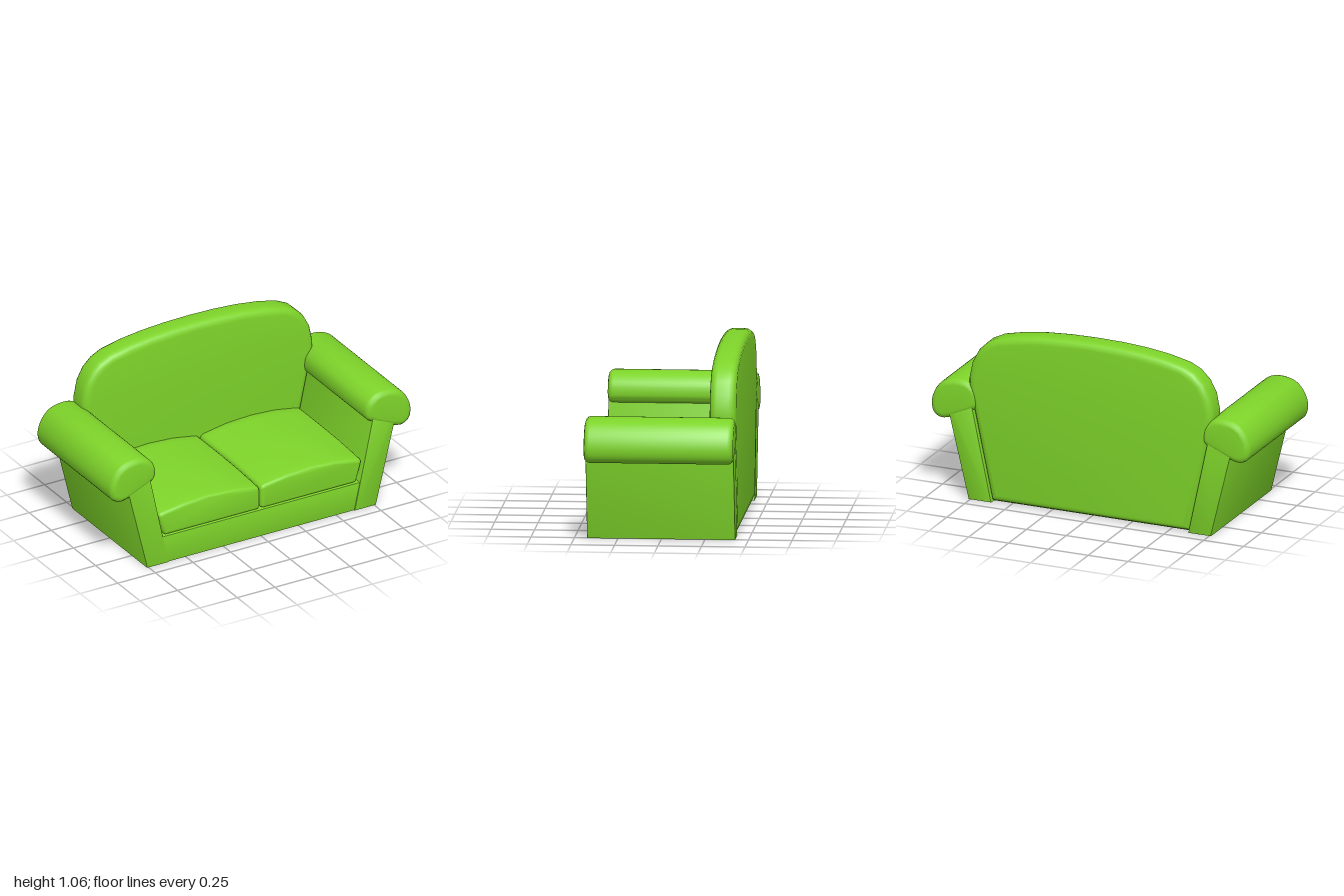
import * as THREE from 'three';
import { toCreasedNormals } from 'three/addons/utils/BufferGeometryUtils.js';

const material = new THREE.MeshStandardMaterial({ color: 0x7ed42a });

// Extrudes a front outline from z0 to z1 with rounded rims kept inside the outline
function extrudeZ(shape, z0, z1, bevel, { segments = 4, steps = 1 } = {}) {
  const geo = new THREE.ExtrudeGeometry(shape, {
    depth: z1 - z0 - 2 * bevel, steps, curveSegments: 4,
    bevelEnabled: true, bevelSize: bevel, bevelOffset: -bevel,
    bevelThickness: bevel, bevelSegments: segments,
  });
  return geo.translate(0, 0, z0 + bevel);
}

function part(name, geo) {
  const mesh = new THREE.Mesh(toCreasedNormals(geo, 0.65), material);
  mesh.name = name;
  return mesh;
}

const points = (list, side = 1) => list.map(([x, y]) => new THREE.Vector2(side * x, y));
const polygon = (list, side) => new THREE.Shape(points(list, side));

// Closed smooth outline
function smoothOutline(list, side) {
  const curve = new THREE.CatmullRomCurve3(
    points(list, side).map((p) => new THREE.Vector3(p.x, p.y, 0)), true);
  return new THREE.Shape(curve.getPoints(48).slice(0, -1).map((p) => new THREE.Vector2(p.x, p.y)));
}

// Cushion: slanted outer side, crowned top that drops toward the front
function cushion(side) {
  const s = new THREE.Shape();
  s.moveTo(side * 0.025, 0.172);
  s.lineTo(side * 0.62, 0.172);
  s.quadraticCurveTo(side * 0.64, 0.172, side * 0.645, 0.2);
  s.lineTo(side * 0.672, 0.31);
  s.quadraticCurveTo(side * 0.675, 0.333, side * 0.645, 0.34);
  s.bezierCurveTo(side * 0.46, 0.386, side * 0.22, 0.386, side * 0.03, 0.34);
  s.quadraticCurveTo(side * 0.004, 0.333, side * 0.004, 0.31);
  s.lineTo(side * 0.004, 0.195);
  s.quadraticCurveTo(side * 0.004, 0.172, side * 0.025, 0.172);
  const geo = extrudeZ(s, -0.3, 0.415, 0.02, { steps: 12 });
  const pos = geo.attributes.position;
  for (let i = 0; i < pos.count; i++) {
    const t = Math.max(0, pos.getZ(i) + 0.05) / 0.46;
    const h = Math.max(0, (pos.getY(i) - 0.172) / 0.2);
    pos.setY(i, pos.getY(i) - 0.025 * t * t * h);
  }
  return geo;
}

// Backrest: splayed sides, round shoulders and a gently arched top
function backrestShape() {
  const s = new THREE.Shape();
  s.moveTo(-0.62, 0.008);
  s.lineTo(0.62, 0.008);
  s.lineTo(0.735, 0.55);
  s.bezierCurveTo(0.76, 0.64, 0.77, 0.68, 0.766, 0.74);
  s.bezierCurveTo(0.755, 0.88, 0.68, 0.97, 0.58, 1.0);
  s.bezierCurveTo(0.42, 1.045, 0.22, 1.06, 0, 1.06);
  s.bezierCurveTo(-0.22, 1.06, -0.42, 1.045, -0.58, 1.0);
  s.bezierCurveTo(-0.68, 0.97, -0.755, 0.88, -0.766, 0.74);
  s.bezierCurveTo(-0.77, 0.68, -0.76, 0.64, -0.735, 0.55);
  return s;
}

export function createModel() {
  const sofa = new THREE.Group();
  sofa.name = 'sofa';

  const base = polygon([[-0.622, 0], [0.622, 0], [0.66, 0.172], [-0.66, 0.172]]);
  sofa.add(part('seatBase', extrudeZ(base, -0.385, 0.422, 0.006, { segments: 2 })));
  sofa.add(part('backrest', extrudeZ(backrestShape(), -0.427, -0.275, 0.042)));

  for (const side of [1, -1]) {
    const label = side > 0 ? 'left' : 'right';

    // Leaning arm panel
    const panel = polygon([[0.618, 0], [0.76, 0], [0.882, 0.5], [0.88, 0.58], [0.742, 0.58]], side);
    sofa.add(part(label + 'ArmPanel', extrudeZ(panel, -0.425, 0.427, 0.005, { segments: 2 })));

    // Padded roll on top of the arm
    const roll = smoothOutline([
      [0.703, 0.57], [0.705, 0.645], [0.74, 0.69], [0.79, 0.714], [0.865, 0.714],
      [0.93, 0.69], [0.98, 0.63], [1.0, 0.555], [0.985, 0.495], [0.94, 0.467],
      [0.88, 0.477], [0.8, 0.51], [0.735, 0.54],
    ], side);
    sofa.add(part(label + 'ArmRoll', extrudeZ(roll, -0.428, 0.43, 0.032, { segments: 3 })));

    sofa.add(part(label + 'Cushion', cushion(side)));
  }
  return sofa;
}
